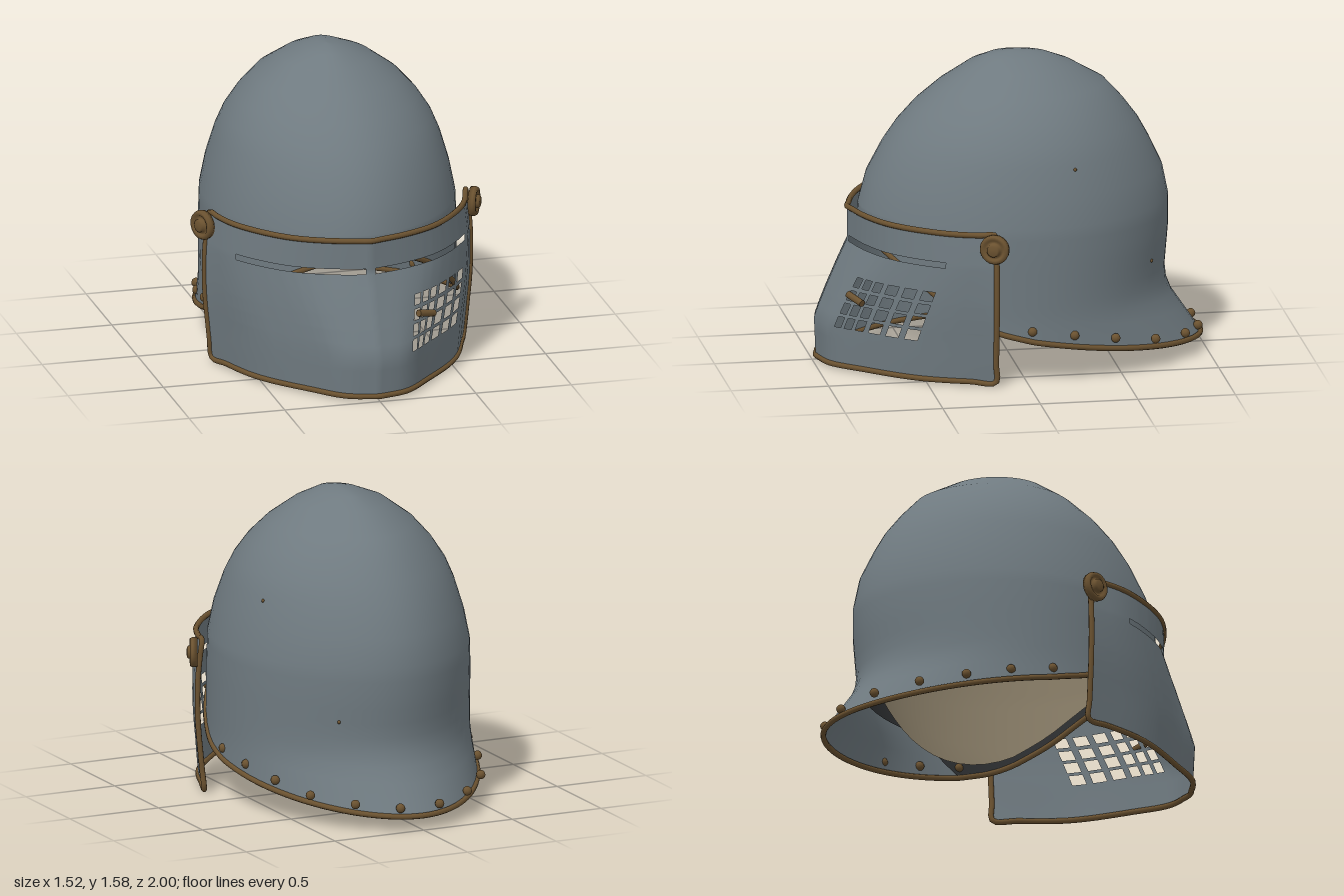
import * as THREE from 'three';

const mat = (name, color) => {
  const m = new THREE.MeshStandardMaterial({ color, side: THREE.DoubleSide });
  m.name = name;
  return m;
};

// Linear lookup in rows [key, value, value...] sorted by descending key
function lookup(table, key) {
  if (key >= table[0][0]) return table[0].slice(1);
  for (let i = 1; i < table.length; i++) {
    const a = table[i - 1], b = table[i];
    if (key >= b[0]) {
      const f = (a[0] - key) / (a[0] - b[0]);
      return a.slice(1).map((v, k) => v + (b[k + 1] - v) * f);
    }
  }
  return table[table.length - 1].slice(1);
}

// Surface from a grid of points; cells can be left open
function grid(us, vs, point, wrap, open = () => false) {
  const pos = [], idx = [], n = us.length;
  for (const v of vs) for (const u of us) pos.push(...point(u, v).toArray());
  for (let j = 0; j < vs.length - 1; j++) {
    for (let i = 0; i < (wrap ? n : n - 1); i++) {
      const k = (i + 1) % n;
      if (open((us[i] + us[k]) / 2, (vs[j] + vs[j + 1]) / 2)) continue;
      const a = j * n + i, b = j * n + k, c = a + n, d = b + n;
      idx.push(a, c, b, b, c, d);
    }
  }
  const g = new THREE.BufferGeometry();
  g.setAttribute('position', new THREE.Float32BufferAttribute(pos, 3));
  g.setIndex(idx);
  g.computeVertexNormals();
  return g;
}

// Skull sections: height, half width, front depth, back depth
const SKULL = [
  [1.57, 0, 0, 0], [1.565, 0.05, 0.07, 0.1], [1.55, 0.11, 0.14, 0.18], [1.5, 0.235, 0.24, 0.3],
  [1.4, 0.37, 0.39, 0.47], [1.3, 0.46, 0.51, 0.56], [1.2, 0.525, 0.6, 0.635], [1.1, 0.567, 0.67, 0.69],
  [0.95, 0.61, 0.75, 0.76], [0.8, 0.64, 0.79, 0.79], [0.65, 0.645, 0.8, 0.79], [0.42, 0.645, 0.8, 0.77],
  [0.32, 0.645, 0.8, 0.785], [0.06, 0.66, 0.8, 0.96],
];
// Height of the lower edge by direction: 1 is front, -1 is back
const RIM = [[1, 0.69], [0.95, 0.66], [0.88, 0.61], [0.6, 0.42], [0.4, 0.32], [0.25, 0.265], [0, 0.215], [-0.5, 0.14], [-1, 0.065]];
const rimY = c => lookup(RIM, c)[0];
const TOP_ROWS = SKULL.slice(0, 10).map(r => r[0]);

function skullPoint(th, y, k = 1) {
  const [w, zf, zb] = lookup(SKULL, y);
  const c = Math.cos(th), peak = c * (0.95 + 0.05 * Math.abs(c) ** 6);
  const drop = (1 - k) * Math.max(0, (y - 0.8) / 0.77);
  return new THREE.Vector3(w * k * Math.sin(th), y - drop, -0.03 + peak * k * (c > 0 ? zf : zb));
}

// Dome from the crown down to an edge that varies with direction
function skull(k, edge) {
  const us = Array.from({ length: 64 }, (_, i) => (i / 64) * Math.PI * 2);
  const vs = [...Array(20).keys()];
  return grid(us, vs, (th, v) => {
    const y = v < 10 ? TOP_ROWS[v] : THREE.MathUtils.lerp(0.8, edge(Math.cos(th)), (v - 9) / 10);
    return skullPoint(th, y, k);
  }, true);
}

// Visor plan curves: brow and chin, from centre to side
const plan = pts => new THREE.CatmullRomCurve3(pts.map(([x, z]) => new THREE.Vector3(x, 0, z)));
const BROW = plan([[0, 0.82], [0.2, 0.76], [0.39, 0.65], [0.59, 0.4], [0.67, 0.17]]);
const CHIN = plan([[0, 0.99], [0.15, 0.945], [0.29, 0.8], [0.51, 0.53], [0.655, 0.17]]);
const BULGE = [[0.62, 0], [0.49, 0.35], [0.35, 0.7], [0.22, 1], [0.015, 0.95]];

function visorPoint(u, y) {
  const a = Math.abs(u);
  const p = BROW.getPoint(a).lerp(CHIN.getPoint(a), lookup(BULGE, y)[0]);
  p.x *= Math.sign(u) * (1 + 0.05 * Math.sin((Math.PI * y) / 0.8));
  p.y = y;
  return p;
}

export function createModel() {
  const model = new THREE.Group();
  const steel = mat('steel', 0x6f7a80);
  const brass = mat('aged brass', 0x6b5230);
  const padding = mat('padding', 0x8f836c);
  const shade = mat('dark interior', 0x303234);
  const add = (name, geo, m, parent = model) => {
    const mesh = new THREE.Mesh(geo, m);
    mesh.name = name;
    parent.add(mesh);
    return mesh;
  };
  const trim = (name, pts, segs) =>
    add(name, new THREE.TubeGeometry(new THREE.CatmullRomCurve3(pts, true), segs, 0.0145, 8, true), brass);

  // Skull with flared neck guard, and its inside layers
  add('skull', skull(1, rimY), steel);
  add('innerShell', skull(0.985, c => Math.max(rimY(c) + 0.01, c < 0 ? Math.min(0.4, 0.22 - c * 0.6) : 0)), shade);
  add('lining', skull(0.95, c => Math.max(rimY(c) + 0.03, 0.28 + 0.42 * c * c)), padding);

  // Rolled edge around the face opening and neck
  trim('skullTrim', Array.from({ length: 64 }, (_, i) => {
    const th = (i / 64) * Math.PI * 2;
    return skullPoint(th, rimY(Math.cos(th)));
  }), 160);

  // Rivets along the neck guard
  const rivet = new THREE.SphereGeometry(0.024, 10, 8);
  const spots = [[0.645, 0.27, -0.02], [0.625, 0.235, -0.24], [0.57, 0.195, -0.46], [0.48, 0.155, -0.68], [0.315, 0.13, -0.86], [0.11, 0.11, -0.96]];
  for (const [x, y, z] of spots) {
    for (const s of [1, -1]) add('neckRivet', rivet, brass).position.set(s * x, y, z);
  }
  // Two small pins on the side of the skull
  for (const [th, y] of [[1.92, 1.08], [2.62, 0.52]]) {
    add('skullPin', new THREE.SphereGeometry(0.009, 8, 6), brass).position.copy(skullPoint(th, y));
  }

  // Visor with eye slits and a breathing grille on one side
  const cols = Array.from({ length: 6 }, (_, i) => [0.31 + i * 0.075, 0.36 + i * 0.075]);
  const rows = [[0.215, 0.27], [0.287, 0.342], [0.359, 0.41], [0.43, 0.48]];
  const half = [0.03, 0.1, 0.17, 0.24, ...cols.flat(), 0.8, 0.87, 0.94, 1];
  const us = [...half.map(u => -u).reverse(), 0, ...half];
  const ys = [0.79, 0.72, 0.64, 0.612, 0.55, ...rows.flat().reverse(), 0.15, 0.08, 0.015];
  const inside = (list, v) => list.some(([a, b]) => v > a && v < b);
  add('visor', grid(us, ys, visorPoint, false, (u, y) => {
    const slit = y > 0.612 && y < 0.64 && Math.abs(u) > 0.03 && Math.abs(u) < 0.735;
    return slit || (inside(cols, u) && inside(rows, y));
  }), steel);

  // Rolled edge around the visor
  const edge = [];
  for (let i = -12; i <= 12; i++) edge.push(visorPoint(i / 12, 0.79));
  for (let i = 1; i < 8; i++) edge.push(visorPoint(1, 0.79 - (i / 8) * 0.775));
  for (let i = 12; i >= -12; i--) edge.push(visorPoint(i / 12, 0.015));
  for (let i = 7; i > 0; i--) edge.push(visorPoint(-1, 0.79 - (i / 8) * 0.775));
  trim('visorTrim', edge, 220);

  // Lifting peg on the grille
  const from = new THREE.Vector3(0.24, 0.395, 0.855), to = new THREE.Vector3(0.335, 0.37, 0.8);
  const peg = add('liftingPeg', new THREE.CylinderGeometry(0.018, 0.018, from.distanceTo(to), 10), brass);
  peg.position.copy(from).lerp(to, 0.5);
  peg.quaternion.setFromUnitVectors(new THREE.Vector3(0, 1, 0), to.clone().sub(from).normalize());

  // Visor pivots: disc with raised ring and central boss
  const discProfile = [[0, -0.018], [0.074, -0.018], [0.077, 0.005], [0.07, 0.02], [0.055, 0.02], [0.048, 0.01],
    [0.035, 0.01], [0.033, 0.028], [0.024, 0.035], [0, 0.036]].map(p => new THREE.Vector2(...p));
  for (const s of [1, -1]) {
    const pivot = add(s > 0 ? 'leftPivot' : 'rightPivot', new THREE.LatheGeometry(discProfile, 24), brass);
    pivot.position.set(s * 0.71, 0.73, 0.185);
    pivot.quaternion.setFromUnitVectors(new THREE.Vector3(0, 1, 0), new THREE.Vector3(s * 0.9, 0, 0.44).normalize());
  }
  return model;
}
